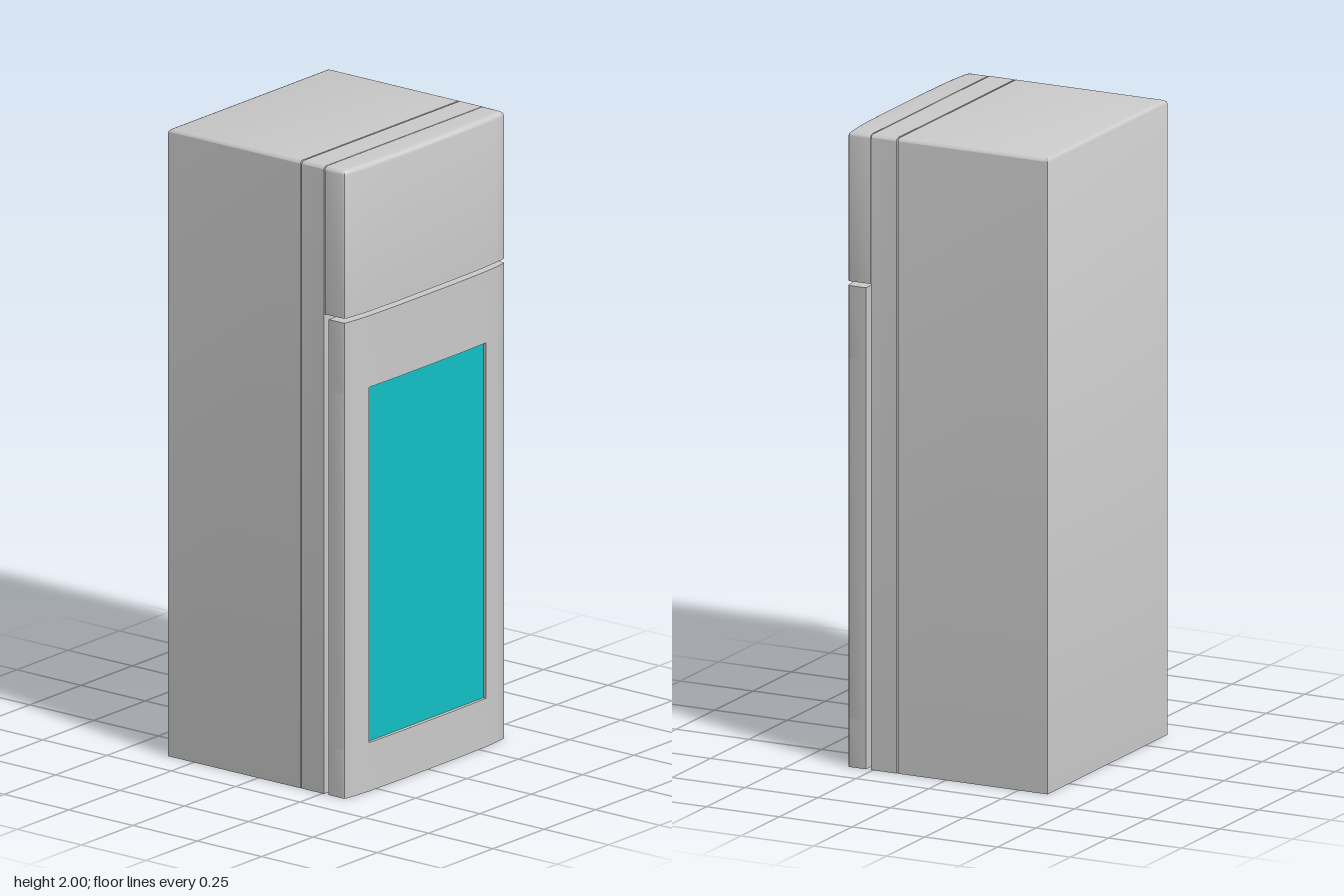
import * as THREE from 'three';
import { toCreasedNormals } from 'three/addons/utils/BufferGeometryUtils.js';

const W = 0.39; // half width
const GREY = new THREE.MeshStandardMaterial({ color: 0xcccccc });
const TEAL = new THREE.MeshStandardMaterial({ color: 0x12c2c8 });

function add(parent, name, geometry, material = GREY) {
  const mesh = new THREE.Mesh(geometry, material);
  mesh.name = name;
  parent.add(mesh);
  return mesh;
}

function box(parent, name, w, y0, y1, z0, z1, material) {
  const mesh = add(parent, name, new THREE.BoxGeometry(w, y1 - y0, z1 - z0), material);
  mesh.position.set(0, (y0 + y1) / 2, (z0 + z1) / 2);
  return mesh;
}

// Quarter-round insets, from the cut end (d = 0) inwards
const rounding = (r) => [0, 1, 2, 3].map((i) => {
  const a = (i / 3) * Math.PI / 2;
  return { d: r * (1 - Math.cos(a)), inset: r * (1 - Math.sin(a)) };
});

// Upright slab with rounded top corners; optionally rounded along the rear top edge
function slab(z0, z1, roundBack) {
  const r = 0.012;
  const s = new THREE.Shape();
  s.moveTo(-W, 0);
  s.lineTo(W, 0);
  s.lineTo(W, 2 - r);
  s.absarc(W - r, 2 - r, r, 0, Math.PI / 2);
  s.lineTo(-W + r, 2);
  s.absarc(-W + r, 2 - r, r, Math.PI / 2, Math.PI);
  s.closePath();
  const layers = [...(roundBack ? rounding(r) : [{ d: 0, inset: 0 }]), { d: z1 - z0, inset: 0 }];
  const n = layers.length - 1;
  const g = new THREE.ExtrudeGeometry(s, { depth: n, steps: n, bevelEnabled: false, curveSegments: 5 });
  const p = g.attributes.position;
  for (let i = 0; i < p.count; i++) {
    const { d, inset } = layers[Math.round(p.getZ(i))];
    p.setY(i, Math.min(p.getY(i), 2 - inset));
    p.setZ(i, z0 + d);
  }
  return toCreasedNormals(g, 0.6);
}

// Plan outline of the bowed front: flat centre, sides falling back to rounded corners
const BOW = [[0.39, 0.328], [0.388, 0.334], [0.382, 0.338], [0.34, 0.3425], [0.285, 0.347], [0.14, 0.35]];

function bowedPanel(y0, y1, back, { recess = null, roundTop = false } = {}) {
  const half = [[W, back], ...BOW];
  if (recess !== null) half.splice(6, 1, [0.285, recess]);
  const pts = [...half, ...half.map(([x, z]) => [-x, z]).reverse()];
  const s = new THREE.Shape(pts.map(([x, z]) => new THREE.Vector2(x, -z)));
  const layers = [{ y: y0, inset: 0 }];
  if (roundTop) rounding(0.014).reverse().forEach(({ d, inset }) => layers.push({ y: y1 - d, inset }));
  else layers.push({ y: y1, inset: 0 });
  const n = layers.length - 1;
  const g = new THREE.ExtrudeGeometry(s, { depth: n, steps: n, bevelEnabled: false });
  g.rotateX(-Math.PI / 2);
  const p = g.attributes.position;
  for (let i = 0; i < p.count; i++) {
    const { y, inset } = layers[Math.round(p.getY(i))];
    p.setX(i, p.getX(i) * (1 - inset / W));
    if (p.getZ(i) > 0.3) p.setZ(i, p.getZ(i) - inset);
    p.setY(i, y);
  }
  return toCreasedNormals(g, 0.6);
}

// Thin lens-shaped spacers in the gap behind a front panel
function spacers(parent, name, y, height, z, depth) {
  for (const side of [1, -1]) {
    const m = add(parent, name, new THREE.SphereGeometry(1, 16, 16));
    m.scale.set(0.04, height / 2, depth);
    m.position.set(side * 0.28, y, z);
  }
}

export function createModel() {
  const model = new THREE.Group();
  model.name = 'cabinet';

  // Main body, front frame and the recessed joint between them
  add(model, 'body', slab(-0.35, 0.164, true));
  add(model, 'joint', new THREE.BoxGeometry(0.71, 1.63, 0.02)).position.set(0, 0.82, 0.166);
  add(model, 'frontFrame', slab(0.169, 0.256, false));

  // Header panel across the top
  const header = new THREE.Group();
  header.name = 'header';
  model.add(header);
  add(header, 'headerPanel', bowedPanel(1.53, 2, 0.259, { roundTop: true }));
  spacers(header, 'headerSpacer', 1.765, 0.46, 0.26, 0.005);

  // Door: two full rails, a middle with stiles, and the sunken window
  const door = new THREE.Group();
  door.name = 'door';
  model.add(door);
  const back = 0.274;
  add(door, 'bottomRail', bowedPanel(0, 0.155, back));
  add(door, 'topRail', bowedPanel(1.288, 1.516, back));
  // Stiles stand in front of the sunken middle
  const middle = bowedMiddle(0.155, 1.288, back, 0.33);
  add(door, 'stiles', middle);
  box(door, 'window', 0.57, 0.155, 1.288, 0.325, 0.337, TEAL);
  spacers(door, 'doorSpacer', 0.76, 1.5, back, 0.016);

  return model;
}

// Door section whose centre is set back to make room for the window
function bowedMiddle(y0, y1, back, floor) {
  const half = [[W, back], ...BOW.slice(0, 5), [0.285, floor]];
  const pts = [...half, ...half.map(([x, z]) => [-x, z]).reverse()];
  const s = new THREE.Shape(pts.map(([x, z]) => new THREE.Vector2(x, -z)));
  const g = new THREE.ExtrudeGeometry(s, { depth: y1 - y0, bevelEnabled: false });
  g.rotateX(-Math.PI / 2);
  g.translate(0, y0, 0);
  return toCreasedNormals(g, 0.6);
}
